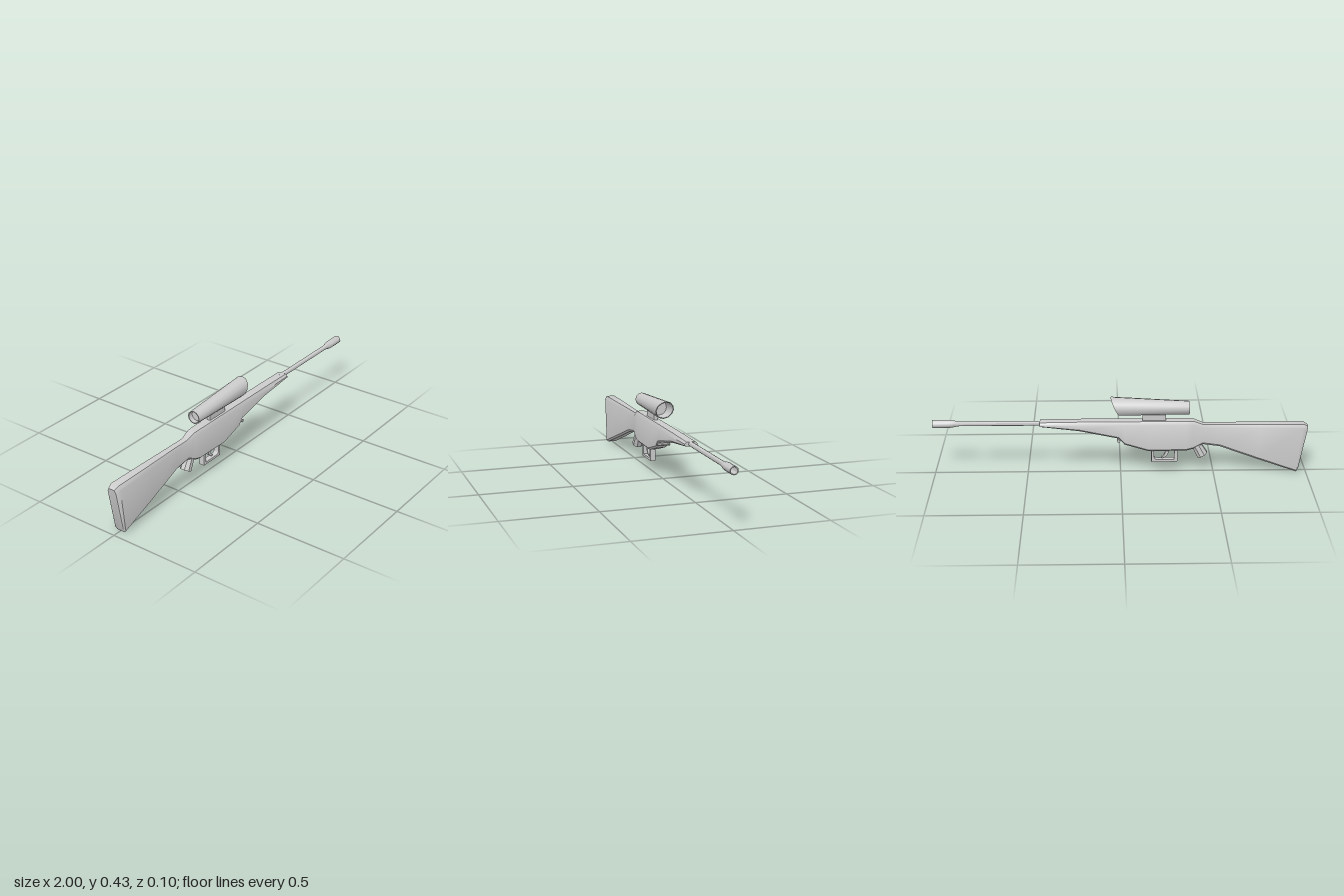
import * as THREE from 'three';
import { toCreasedNormals } from 'three/addons/utils/BufferGeometryUtils.js';

const material = new THREE.MeshStandardMaterial({ color: 0xcccccc, side: THREE.DoubleSide });

function addPart(group, name, geometry, crease = 0.6) {
  const mesh = new THREE.Mesh(toCreasedNormals(geometry, crease), material);
  mesh.name = name;
  group.add(mesh);
  return mesh;
}

// Skin closed rings that run along +x and wind from +y towards +z, with end caps.
function skin(rings) {
  const n = rings[0].length;
  const index = [];
  for (let i = 0; i < rings.length - 1; i++) {
    for (let j = 0; j < n; j++) {
      const a = i * n + j, b = i * n + (j + 1) % n;
      index.push(a, b, a + n, b, b + n, a + n);
    }
  }
  const last = (rings.length - 1) * n;
  for (let j = 1; j < n - 1; j++) {
    index.push(0, j + 1, j, last, last + j, last + j + 1);
  }
  const geometry = new THREE.BufferGeometry();
  geometry.setAttribute('position', new THREE.Float32BufferAttribute(rings.flat(2), 3));
  geometry.setIndex(index);
  return geometry;
}

// Chamfered section: x at top and bottom, y at top and bottom, half width.
function section([xTop, xBottom, yTop, yBottom, w]) {
  const h = yTop - yBottom;
  const c = Math.min(0.018, h * 0.4);
  const t = w * 0.68;
  const profile = [
    [yTop, t], [yTop - c, w], [yBottom + c * 0.6, w], [yBottom, t],
    [yBottom, -t], [yBottom + c * 0.6, -w], [yTop - c, -w], [yTop, -t],
  ];
  return profile.map(([y, z]) => [xBottom + (xTop - xBottom) * (y - yBottom) / h, y, z]);
}

// Lathe profile of [radius, x] turned to lie along the x axis.
function turned(points, sides = 12) {
  const profile = points.map(([r, x]) => new THREE.Vector2(r, x));
  return new THREE.LatheGeometry(profile, sides).rotateZ(-Math.PI / 2);
}

export function createModel() {
  const model = new THREE.Group();
  model.name = 'rifle';

  // Stock, receiver and tapering fore-end in one body
  const stations = [
    [-1.0, -0.957, 0.266, 0.014, 0.026],
    [-0.975, -0.949, 0.28, 0.002, 0.034],
    [-0.75, -0.73, 0.28, 0.08, 0.03],
    [-0.54, -0.53, 0.28, 0.153, 0.024],
    [-0.44, -0.44, 0.28, 0.166, 0.024],
    [-0.39, -0.385, 0.3, 0.14, 0.031],
    [-0.35, -0.35, 0.302, 0.132, 0.034],
    [-0.15, -0.15, 0.302, 0.13, 0.034],
    [-0.02, -0.02, 0.302, 0.17, 0.034],
    [0.01, 0.01, 0.302, 0.205, 0.034],
    [0.22, 0.22, 0.302, 0.25, 0.034],
    [0.43, 0.43, 0.3, 0.276, 0.034],
  ];
  addPart(model, 'stock', skin(stations.map(section)));

  // Barrel with a flared, hollow muzzle
  const barrel = addPart(model, 'barrel', turned([
    [0, 0.4], [0.013, 0.4], [0.013, 0.86], [0.022, 0.91],
    [0.022, 1], [0.017, 1], [0.017, 0.93], [0, 0.93],
  ]));
  barrel.position.y = 0.288;

  // Scope: hollow at both ends, widening forward to a slanted hood
  const scope = turned([
    [0, -0.34], [0.03, -0.34], [0.031, -0.365], [0.036, -0.365],
    [0.051, 0.031], [0.046, 0.031], [0.041, -0.06], [0, -0.06],
  ]);
  const p = scope.attributes.position;
  for (let i = 0; i < p.count; i++) {
    const x = p.getX(i), y = p.getY(i);
    if (x > 0) p.setX(i, x + y * 0.46);
    p.setY(i, y + 0.372 + (x + 0.365) * 0.028);
  }
  addPart(model, 'scope', scope);

  const mount = addPart(model, 'scopeMount', new THREE.BoxGeometry(0.125, 0.05, 0.02));
  mount.position.set(-0.178, 0.32, 0);

  // Short slanted grip behind the receiver
  const grip = addPart(model, 'grip',
    new THREE.CylinderGeometry(0.027, 0.031, 0.075, 8).rotateY(Math.PI / 8));
  grip.position.set(-0.422, 0.131, 0);
  grip.rotation.z = -0.5;

  // Trigger guard: a flat frame with an opening
  const guard = new THREE.Shape([
    [-0.305, 0.062], [-0.165, 0.062], [-0.165, 0.14], [-0.305, 0.14],
  ].map(([x, y]) => new THREE.Vector2(x, y)));
  const opening = new THREE.Path();
  opening.moveTo(-0.288, 0.075);
  opening.lineTo(-0.288, 0.135);
  opening.lineTo(-0.18, 0.135);
  opening.lineTo(-0.18, 0.093);
  opening.quadraticCurveTo(-0.18, 0.075, -0.2, 0.075);
  opening.closePath();
  guard.holes.push(opening);
  addPart(model, 'triggerGuard', new THREE.ExtrudeGeometry(guard,
    { depth: 0.03, bevelEnabled: false, curveSegments: 4 }).translate(0, 0, -0.015));

  // Curved trigger blade
  const blade = new THREE.Shape();
  blade.moveTo(-0.26, 0.14);
  blade.quadraticCurveTo(-0.262, 0.09, -0.222, 0.08);
  blade.lineTo(-0.22, 0.087);
  blade.quadraticCurveTo(-0.246, 0.1, -0.238, 0.14);
  addPart(model, 'trigger', new THREE.ExtrudeGeometry(blade,
    { depth: 0.016, bevelEnabled: false, curveSegments: 5 }).translate(0, 0, -0.008));

  // Cross pin under the fore-end
  const pin = addPart(model, 'crossPin',
    new THREE.CylinderGeometry(0.009, 0.009, 0.07, 8).rotateX(Math.PI / 2));
  pin.position.set(0.011, 0.195, 0);

  return model;
}
